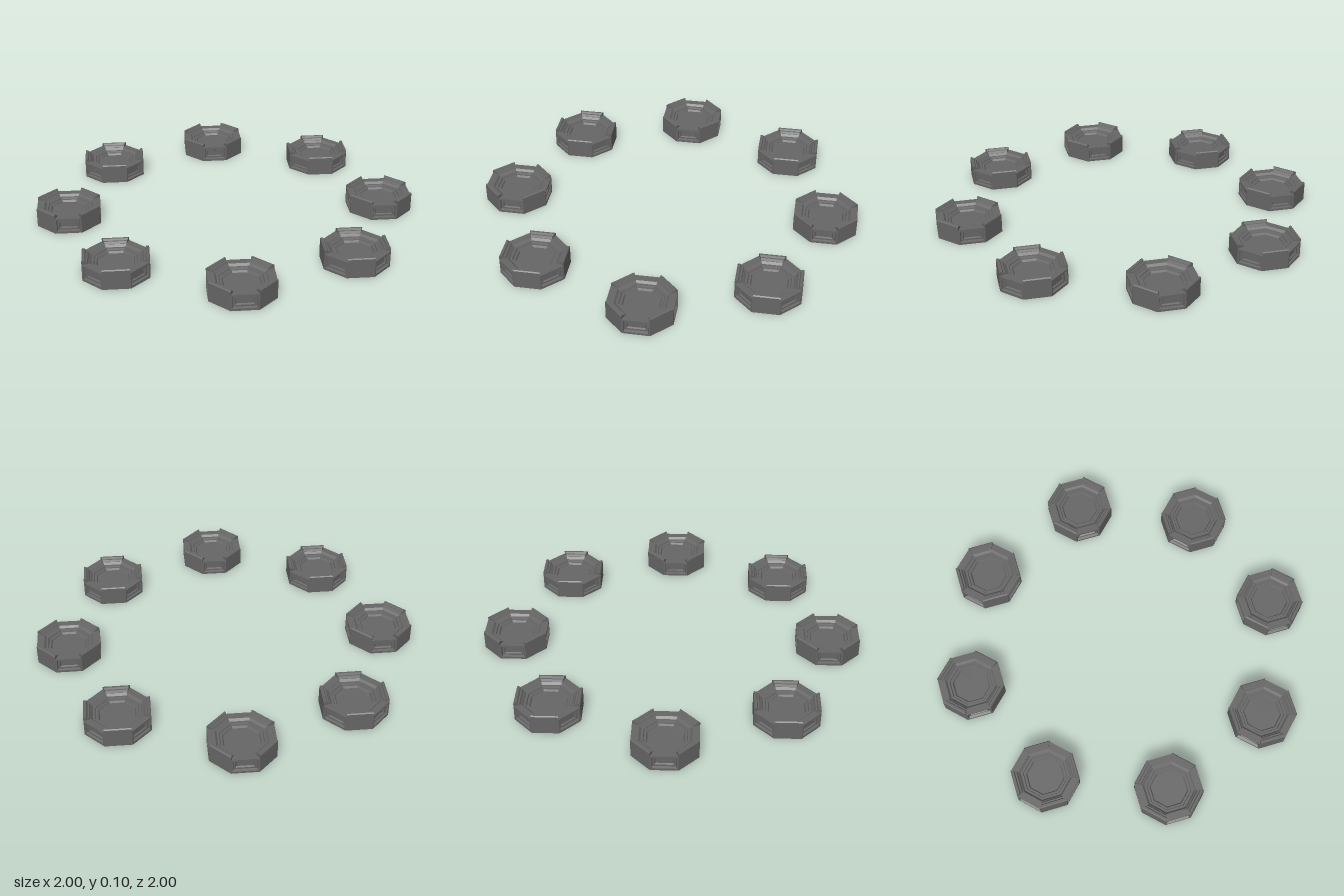
import * as THREE from 'three';

const APOTHEM = 0.165;                                  // centre of a pad to its flat sides
const HALF = APOTHEM * Math.tan(Math.PI / 8);           // half the length of one side
const RING = 0.835;                                     // circle on which the pads stand

const material = new THREE.MeshStandardMaterial({ color: 0x666666, flatShading: true });

// Octagonal body with a dished, stepped top; profile is [apothem, y]
function dishGeometry() {
  const profile = [
    [0, 0], [0.14, 0], [0.14, 0.085], [0.128, 0.085], [0.118, 0.074],
    [0.107, 0.074], [0.104, 0.066], [0.093, 0.066], [0.087, 0.056], [0, 0.056],
  ].map(([r, y]) => new THREE.Vector2(r / Math.cos(Math.PI / 8), y));
  return new THREE.LatheGeometry(profile, 8).rotateY(Math.PI / 8);
}

// Raised block: section in (radius, y), swept along one side with mitred ends
function blockGeometry() {
  const section = new THREE.Shape([
    [0.13, 0], [APOTHEM, 0], [APOTHEM, 0.1], [0.16, 0.105],
    [0.15, 0.105], [0.145, 0.096], [0.137, 0.096], [0.13, 0.084],
  ].map(([r, y]) => new THREE.Vector2(r, y)));
  const geometry = new THREE.ExtrudeGeometry(section, { depth: 2 * HALF, bevelEnabled: false });
  geometry.translate(0, 0, -HALF);
  const p = geometry.attributes.position;
  for (let i = 0; i < p.count; i++) p.setZ(i, p.getZ(i) * p.getX(i) / APOTHEM);
  return geometry.rotateY(-Math.PI / 2);
}

// Low side with a sunken window: rectangular loops [half width, bottom, top, z]
function windowGeometry() {
  const loops = [
    [HALF * 0.8, 0, 0.085, 0.132],
    [HALF, 0, 0.085, APOTHEM],
    [0.06, 0.012, 0.077, APOTHEM],
    [0.056, 0.016, 0.073, 0.153],
    [0.046, 0.025, 0.062, 0.153],
    [0.042, 0.029, 0.058, 0.145],
  ];
  const vertices = [], index = [];
  for (const [w, b, t, z] of loops) vertices.push(-w, b, z, w, b, z, w, t, z, -w, t, z);
  for (let i = 0; i < loops.length - 1; i++) {
    for (let k = 0; k < 4; k++) {
      const a = i * 4 + k, b = i * 4 + (k + 1) % 4;
      index.push(a, b, b + 4, a, b + 4, a + 4);
    }
  }
  const n = (loops.length - 1) * 4;
  index.push(n, n + 1, n + 2, n, n + 2, n + 3);
  const geometry = new THREE.BufferGeometry();
  geometry.setAttribute('position', new THREE.Float32BufferAttribute(vertices, 3));
  geometry.setIndex(index);
  geometry.computeVertexNormals();
  return geometry;
}

function addPart(parent, geometry, name, angle = 0) {
  const mesh = new THREE.Mesh(geometry, material);
  mesh.name = name;
  mesh.rotation.y = angle;
  parent.add(mesh);
}

export function createModel() {
  const model = new THREE.Group();
  model.name = 'padRing';
  const dish = dishGeometry(), block = blockGeometry(), sidePanel = windowGeometry();

  // Eight pads in a circle, each turned to face outward
  for (let i = 0; i < 8; i++) {
    const angle = i * Math.PI / 4;
    const pad = new THREE.Group();
    pad.name = 'pad' + (i + 1);
    pad.position.set(RING * Math.sin(angle), 0, RING * Math.cos(angle));
    pad.rotation.y = angle;
    addPart(pad, dish, 'dish');
    // Sides alternate between low windowed panels and raised blocks
    for (let k = 0; k < 4; k++) {
      addPart(pad, sidePanel, 'sidePanel', k * Math.PI / 2);
      addPart(pad, block, 'rimBlock', (k + 0.5) * Math.PI / 2);
    }
    model.add(pad);
  }
  return model;
}
